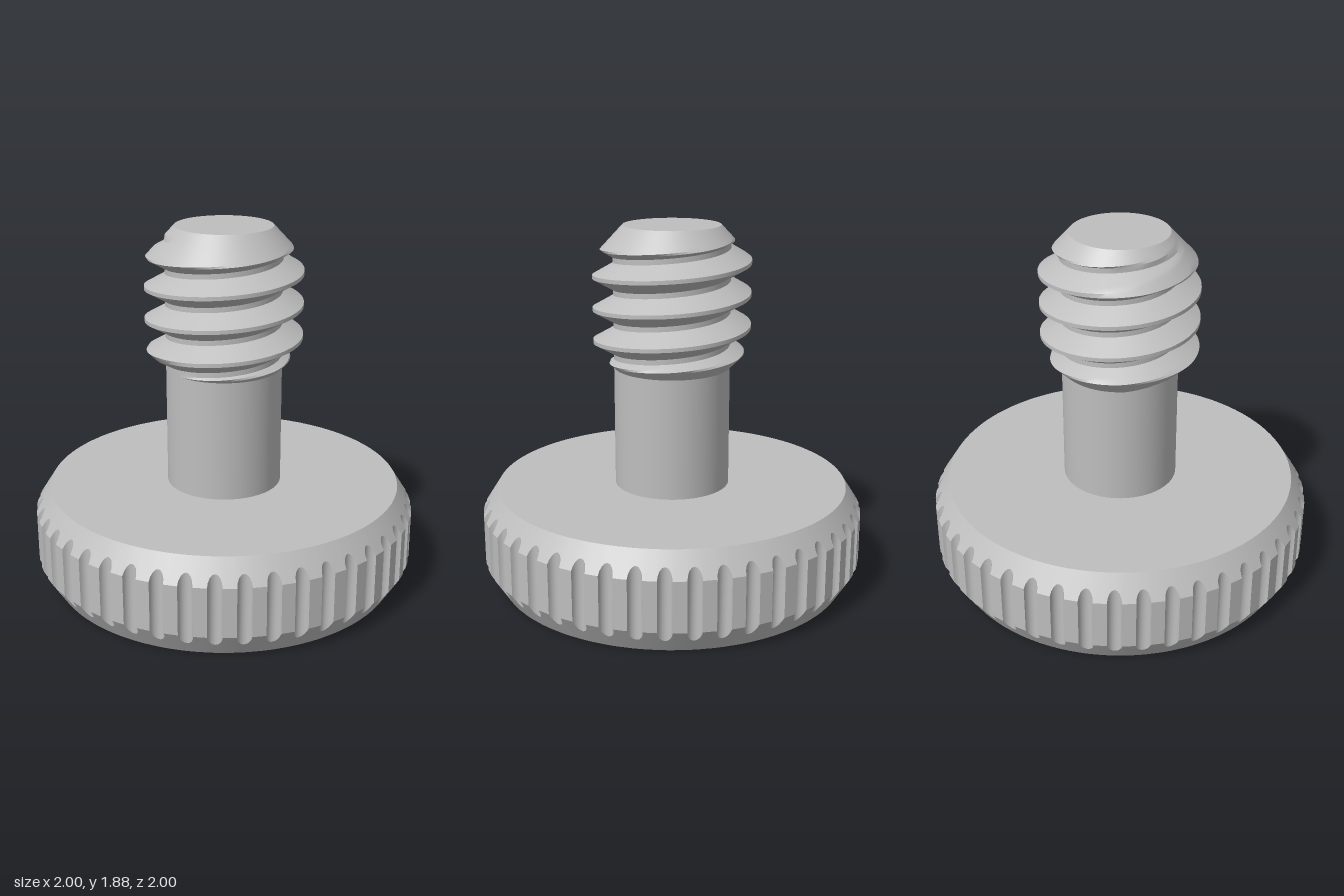
import * as THREE from 'three';
import { toCreasedNormals } from 'three/addons/utils/BufferGeometryUtils.js';

const HEAD_TOP = 0.515, SHANK_TOP = 1.145, TOP = 1.875;
const FACE_R = 0.92, PITCH = 0.166;

// Point at angle a (from +z towards +x), radius r, height y
const polar = (a, r, y) => new THREE.Vector3(Math.sin(a) * r, y, Math.cos(a) * r);

// Geometry from a list of four-cornered faces, smooth below the crease angle
function fromQuads(quads, crease = 0.5) {
  const pos = [];
  const tri = (a, b, c) => {
    if (a.distanceTo(b) < 1e-6 || b.distanceTo(c) < 1e-6 || c.distanceTo(a) < 1e-6) return;
    for (const p of [a, b, c]) pos.push(p.x, p.y, p.z);
  };
  for (const [a, b, c, d] of quads) { tri(a, b, c); tri(a, c, d); }
  const g = new THREE.BufferGeometry();
  g.setAttribute('position', new THREE.Float32BufferAttribute(pos, 3));
  g.computeVertexNormals();
  return toCreasedNormals(g, crease);
}

// Skin between neighbouring columns of points that run upwards
function skin(columns) {
  const quads = [];
  for (let i = 0; i < columns.length - 1; i++) {
    const l = columns[i], r = columns[i + 1];
    for (let j = 0; j < l.length - 1; j++) quads.push([l[j], r[j], r[j + 1], l[j + 1]]);
  }
  return fromQuads(quads);
}

// Head edge: chamfered rim with 45 round-bottomed grooves
function rimColumns() {
  const count = 45, groove = 0.036, steps = 8, columns = [], angles = [];
  for (let i = 0; i < count; i++) {
    const centre = THREE.MathUtils.degToRad(-2 + i * 360 / count);
    for (let k = 0; k <= steps; k++) {
      const t = Math.PI * k / steps;
      const a = centre - groove * Math.cos(t), r = 1 - groove * Math.sin(t);
      const f = (r - FACE_R) / (1 - FACE_R);
      angles.push(a);
      columns.push([polar(a, FACE_R, 0), polar(a, r, 0.13 * f),
        polar(a, r, HEAD_TOP - 0.125 * f), polar(a, FACE_R, HEAD_TOP)]);
    }
  }
  columns.push(columns[0]);
  return { columns, angles };
}

// Thread radius at height y, d above the middle of the nearest crest
function threadRadius(y, d) {
  const fall = THREE.MathUtils.clamp((Math.abs(d) - 0.01) / 0.06, 0, 1);
  return Math.min(0.405 - 0.105 * fall, 0.25 + (TOP - y) * 0.93, 0.3 + (y - SHANK_TOP));
}

// Right-handed helical thread, trimmed to cones at both ends
function threadColumns() {
  const segments = 72, columns = [], crest0 = 1.6;
  for (let i = 0; i <= segments; i++) {
    const a = 2 * Math.PI * i / segments, column = [];
    for (let turn = -4; turn <= 2; turn++) {
      for (let k = -7; k <= 7; k++) {
        if (k === 0) continue;
        const raw = crest0 + PITCH * (turn + i / segments) + k * 0.01;
        const y = THREE.MathUtils.clamp(raw, SHANK_TOP, TOP);
        const rel = y - crest0 - PITCH * i / segments;
        const d = rel - PITCH * Math.round(rel / PITCH);
        column.push(polar(a, threadRadius(y, d), y));
      }
    }
    columns.push(column);
  }
  return columns;
}

export function createModel() {
  const model = new THREE.Group();
  const steel = new THREE.MeshStandardMaterial({ color: 0xbebebe });
  steel.name = 'steel grey';
  const add = (name, geometry) => {
    const mesh = new THREE.Mesh(geometry, steel);
    mesh.name = name;
    model.add(mesh);
    return mesh;
  };

  // Knurled head
  const { columns, angles } = rimColumns();
  add('knurledRim', skin(columns));
  const disc = (s) => new THREE.Shape(
    angles.map((a) => new THREE.Vector2(Math.sin(a) * FACE_R, s * Math.cos(a) * FACE_R)));
  add('headTop', new THREE.ShapeGeometry(disc(-1)).rotateX(-Math.PI / 2)).position.y = HEAD_TOP;

  // Underside with the driver slot cut out
  const rect = (l, w) => [[l, w], [l, -w], [-l, -w], [-l, w]];
  const under = disc(1);
  under.holes.push(new THREE.Path(rect(0.765, 0.065).map(([x, z]) => new THREE.Vector2(x, z))));
  add('headUnderside', new THREE.ShapeGeometry(under).rotateX(Math.PI / 2));

  // Slot walls with sloping ends, and its floor
  const mouth = rect(0.765, 0.065).map(([x, z]) => new THREE.Vector3(x, 0, z));
  const floor = rect(0.645, 0.065).map(([x, z]) => new THREE.Vector3(x, 0.15, z));
  const walls = mouth.map((p, i) => {
    const n = (i + 1) % 4;
    return [mouth[n], p, floor[i], floor[n]];
  });
  add('driverSlot', fromQuads([...walls, [...floor].reverse()]));

  // Plain shank
  const length = SHANK_TOP - HEAD_TOP;
  add('shank', new THREE.CylinderGeometry(0.3, 0.3, length, 48, 1, true))
    .position.y = HEAD_TOP + length / 2;

  // Threaded end
  add('thread', skin(threadColumns()));
  add('threadTip', new THREE.CircleGeometry(0.25, 72).rotateX(-Math.PI / 2)).position.y = TOP;

  return model;
}
